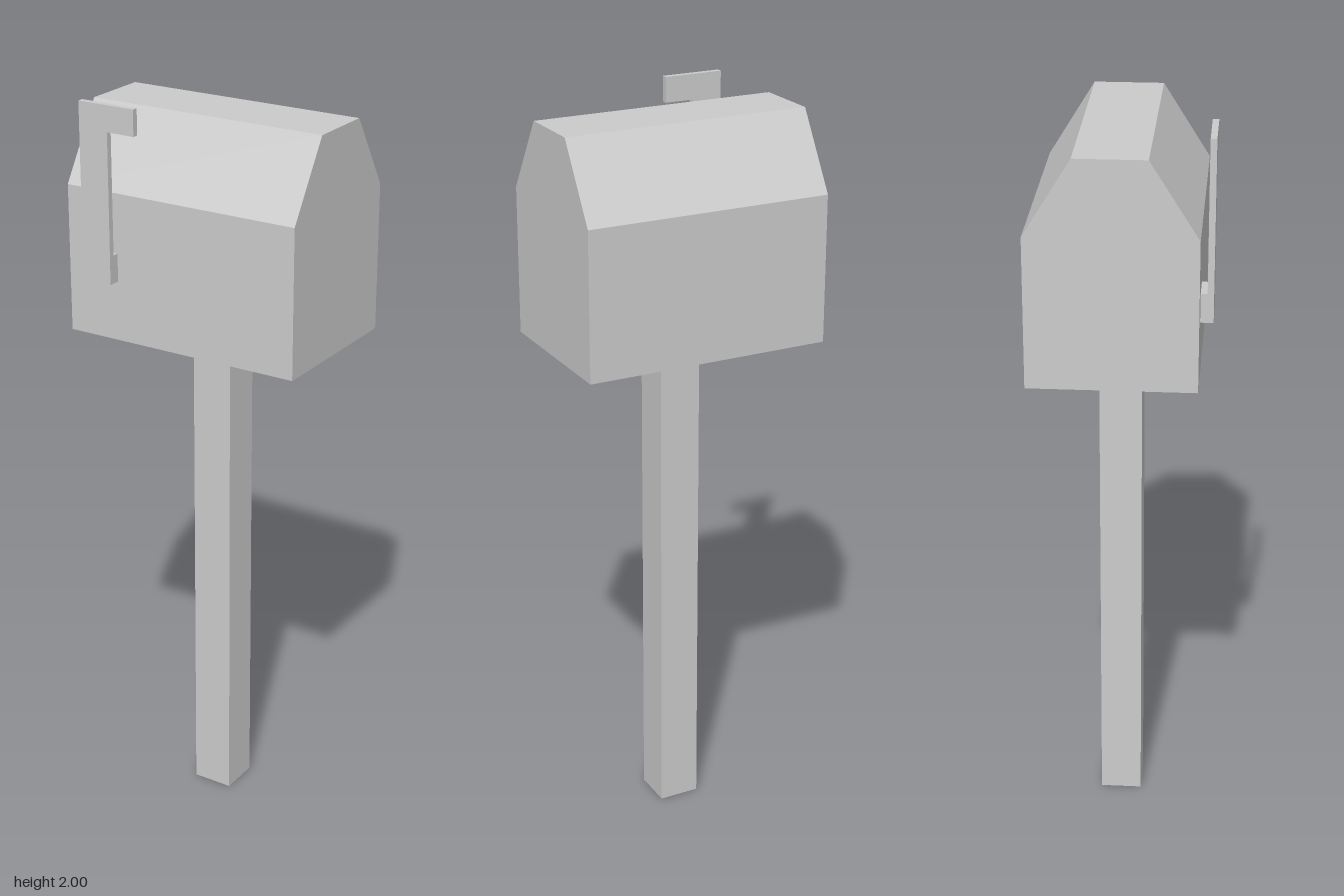
import * as THREE from 'three';

const material = new THREE.MeshStandardMaterial({ color: 0xcccccc, flatShading: true });

// Extrude a 2D outline by depth, centred on its own z
function extrude(name, points, depth) {
  const shape = new THREE.Shape(points.map(([x, y]) => new THREE.Vector2(x, y)));
  const geometry = new THREE.ExtrudeGeometry(shape, { depth, bevelEnabled: false });
  geometry.translate(0, 0, -depth / 2);
  const mesh = new THREE.Mesh(geometry, material);
  mesh.name = name;
  return mesh;
}

function box(name, [w, h, d], [x, y, z]) {
  const mesh = new THREE.Mesh(new THREE.BoxGeometry(w, h, d), material);
  mesh.name = name;
  mesh.position.set(x, y, z);
  return mesh;
}

export function createModel() {
  const model = new THREE.Group();
  model.name = 'mailbox';

  // Square post
  model.add(box('post', [0.112, 1.375, 0.112], [0, 0.6875, -0.013]));

  // Six-sided body: outline across the depth, extruded along x
  const body = extrude('body', [
    [-0.198, 1.375], [0.231, 1.375], [0.231, 1.768],
    [0.109, 1.965], [-0.074, 1.965], [-0.198, 1.768],
  ], 0.667);
  body.rotation.y = Math.PI / 2;
  model.add(body);

  // Raised signal flag and the block joining it to the body
  const flag = extrude('flag', [
    [-0.268, 1.535], [-0.184, 1.535], [-0.184, 1.932],
    [-0.105, 1.932], [-0.105, 2], [-0.268, 2],
  ], 0.016);
  flag.position.z = 0.223;
  model.add(flag);
  model.add(box('flagMount', [0.084, 0.075, 0.017], [-0.226, 1.5725, 0.2065]));

  return model;
}
